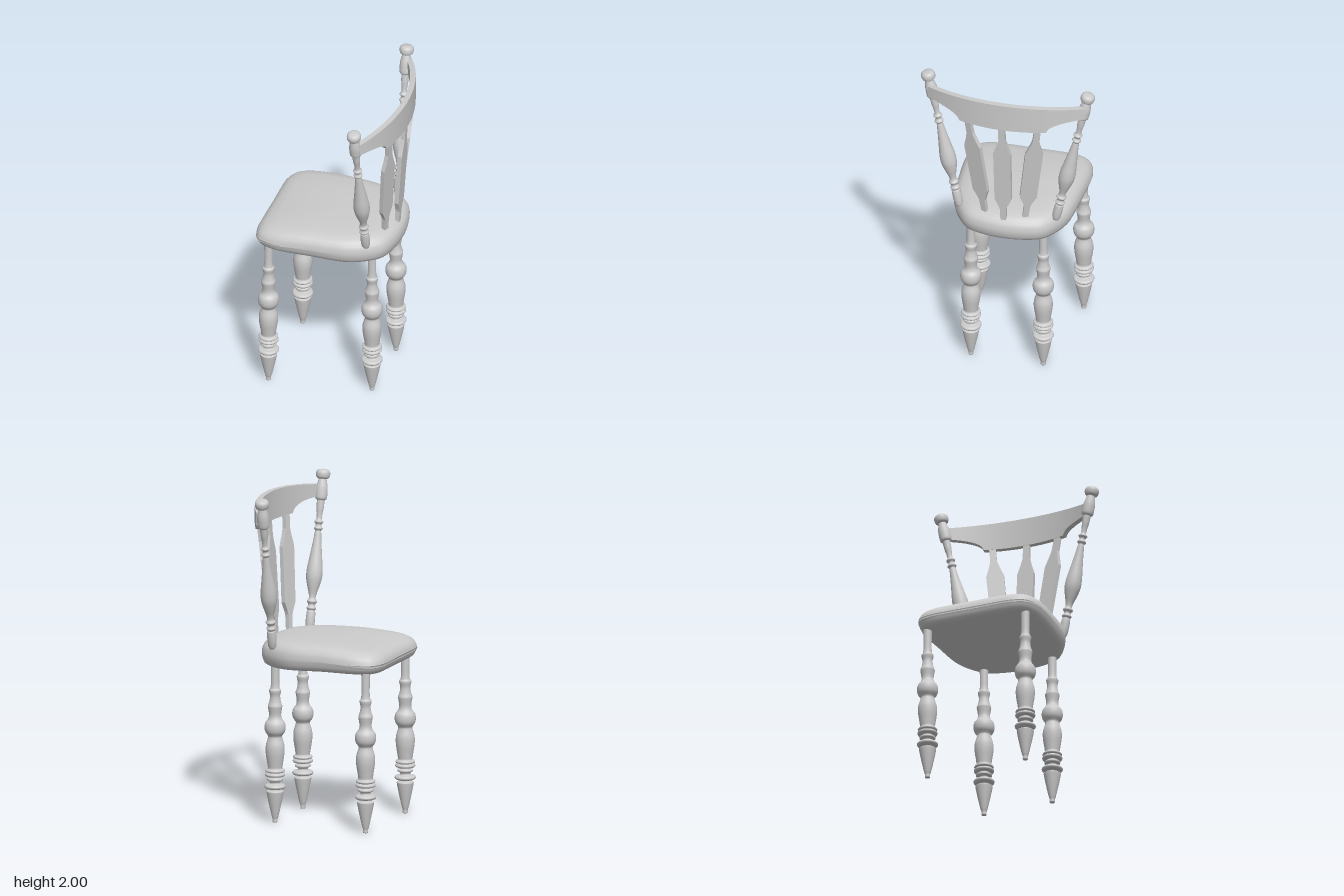
import * as THREE from 'three';

const material = new THREE.MeshStandardMaterial({ color: 0xcccccc, side: THREE.DoubleSide });
const V = (x, y, z) => new THREE.Vector3(x, y, z);

function add(parent, name, geometry) {
  const mesh = new THREE.Mesh(geometry, material);
  mesh.name = name;
  parent.add(mesh);
  return mesh;
}

// Turned wood: a smooth lathe through [radius, height] points
function turned(profile) {
  const curve = new THREE.CatmullRomCurve3(profile.map(([r, y]) => V(r, y, 0)));
  const points = curve.getPoints(profile.length * 4)
    .map((p) => new THREE.Vector2(Math.max(p.x, 0), p.y));
  return new THREE.LatheGeometry(points, 28);
}

// Cushion-like seat: one outline scaled through a rounded edge profile
function seatGeometry() {
  const half = [[0, -0.447], [0.15, -0.448], [0.27, -0.443], [0.345, -0.41], [0.38, -0.32], [0.383, -0.2],
    [0.376, -0.08], [0.366, 0.06], [0.35, 0.15], [0.305, 0.25], [0.235, 0.335], [0.13, 0.372], [0, 0.385]];
  const mirrored = half.slice(1, -1).reverse().map(([x, z]) => [-x, z]);
  const outline = new THREE.CatmullRomCurve3([...half, ...mirrored].map(([x, z]) => V(x, 0, z)), true);
  const n = 96;
  const ring = outline.getSpacedPoints(n).slice(0, n);
  const profile = [[0, 0.94], [0.5, 0.94], [0.85, 0.94], [0.92, 0.943], [0.96, 0.955], [0.985, 0.975],
    [0.998, 1.0], [1, 1.02], [0.99, 1.045], [0.97, 1.063], [0.93, 1.082], [0.87, 1.096],
    [0.75, 1.107], [0.5, 1.112], [0.25, 1.114], [0, 1.114]];
  const positions = [], index = [];
  profile.forEach(([s, y], i) => {
    ring.forEach((p, j) => {
      const z = -0.03 + (p.z + 0.03) * s;
      // the front edge is slightly thinner than the back
      const t = THREE.MathUtils.smoothstep(-z, -0.25, 0.15);
      const lift = y < 1.02 ? 0.014 * t : -0.02 * THREE.MathUtils.smoothstep(-z, 0.05, 0.45);
      positions.push(p.x * s, y + lift, z);
      if (i === 0) return;
      const k = (j + 1) % n, lo = (i - 1) * n, hi = i * n;
      index.push(lo + j, hi + j, lo + k, hi + j, hi + k, lo + k);
    });
  });
  const g = new THREE.BufferGeometry();
  g.setAttribute('position', new THREE.Float32BufferAttribute(positions, 3));
  g.setIndex(index);
  g.computeVertexNormals();
  return g;
}

// Depth of the curved back at a sideways position
const backArc = (x) => 0.39 - 0.909 + Math.sqrt(0.909 ** 2 - x * x);

// Crest rail: a box bent along the arc, with a stepped lower edge
function railGeometry() {
  const g = new THREE.BoxGeometry(0.94, 1, 0.033, 80, 1, 1);
  const p = g.attributes.position;
  for (let i = 0; i < p.count; i++) {
    const x = p.getX(i), a = Math.abs(x);
    const top = 1.94 - 0.033 * (a / 0.47) ** 2;
    const t = THREE.MathUtils.clamp((a - 0.26) / 0.2, 0, 1);
    const bottom = 1.765 + 0.07 * Math.sqrt(1 - (1 - t) ** 2);
    const angle = Math.asin(x / 0.909), d = p.getZ(i);
    p.setXYZ(i, x + Math.sin(angle) * d, p.getY(i) > 0 ? top : bottom, backArc(x) + Math.cos(angle) * d);
  }
  g.computeVertexNormals();
  return g;
}

// Flat slat with a wide blade between narrow necks
function slatGeometry(length) {
  const side = [[0.015, 0], [0.019, 0.17], [0.026, 0.2], [0.05, 0.27], [0.053, 0.72],
    [0.03, 0.81], [0.02, 0.86], [0.019, 1]];
  const outline = [...side, ...[...side].reverse().map(([x, y]) => [-x, y])];
  const shape = new THREE.Shape(outline.map(([x, y]) => new THREE.Vector2(x, y * length)));
  const g = new THREE.ExtrudeGeometry(shape, { depth: 0.026, bevelEnabled: false });
  return g.translate(0, 0, -0.013);
}

export function createModel() {
  const model = new THREE.Group();
  model.name = 'chair';
  // The chair stands turned about the vertical axis
  const chair = new THREE.Group();
  chair.name = 'turnedChair';
  chair.rotation.y = 0.54;
  chair.position.set(-0.033, 0, 0.02);
  model.add(chair);

  add(chair, 'seat', seatGeometry());

  const legGeometry = turned([[0, 0], [0.014, 0.001], [0.015, 0.02], [0.021, 0.04], [0.05, 0.178], [0.05, 0.188],
    [0.03, 0.194], [0.03, 0.201], [0.056, 0.205], [0.063, 0.216], [0.056, 0.227], [0.032, 0.232],
    [0.031, 0.245], [0.046, 0.253], [0.046, 0.264], [0.034, 0.27], [0.034, 0.276], [0.055, 0.279],
    [0.06, 0.288], [0.055, 0.297], [0.045, 0.301], [0.054, 0.304], [0.058, 0.311], [0.054, 0.319],
    [0.044, 0.324], [0.046, 0.35], [0.056, 0.42], [0.055, 0.465], [0.043, 0.508], [0.042, 0.52],
    [0.058, 0.545], [0.063, 0.572], [0.058, 0.6], [0.042, 0.622], [0.036, 0.645], [0.041, 0.685],
    [0.043, 0.7], [0.039, 0.713], [0.035, 0.725], [0.03, 0.76], [0.036, 0.79], [0.035, 0.8],
    [0.028, 0.808], [0.025, 0.9], [0.026, 0.97]]);

  const postGeometry = turned([[0, 0], [0.019, 0.002], [0.025, 0.11], [0.021, 0.117], [0.029, 0.13], [0.021, 0.145],
    [0.021, 0.155], [0.03, 0.17], [0.021, 0.186], [0.022, 0.21], [0.036, 0.26], [0.047, 0.31],
    [0.047, 0.36], [0.038, 0.43], [0.026, 0.52], [0.02, 0.575], [0.018, 0.59], [0.027, 0.603],
    [0.018, 0.618], [0.018, 0.628], [0.027, 0.642], [0.017, 0.657], [0.017, 0.69], [0.021, 0.72],
    [0.023, 0.76], [0.024, 0.772], [0.033, 0.779], [0.036, 0.815], [0.034, 0.85], [0.025, 0.89],
    [0.024, 0.897], [0.036, 0.903], [0.042, 0.92], [0.041, 0.938], [0.03, 0.951], [0, 0.956]]);

  for (const s of [1, -1]) {
    const label = s > 0 ? 'Left' : 'Right';
    add(chair, 'frontLeg' + label, legGeometry).position.set(0.315 * s, 0, -0.353);
    add(chair, 'backLeg' + label, legGeometry).position.set(0.22 * s, 0, 0.26);
    // Posts lean outward from the seat
    const post = add(chair, 'backPost' + label, postGeometry);
    post.position.set(0.292 * s, 1.06, 0.247);
    post.quaternion.setFromUnitVectors(V(0, 1, 0), V(0.2 * s, 0.938, -0.01).normalize());
  }

  add(chair, 'crestRail', railGeometry());

  // Three slats fan out from the seat to the rail
  for (const s of [-1, 0, 1]) {
    const bottom = V(0.118 * s, s ? 1.055 : 1.03, s ? 0.304 : 0.342);
    const top = V(0.212 * s, 1.785, backArc(0.212 * s));
    const up = top.clone().sub(bottom);
    const slat = add(chair, ['backSlatRight', 'backSlatCentre', 'backSlatLeft'][s + 1], slatGeometry(up.length()));
    up.normalize();
    const face = V(Math.sin(0.3 * s), 0, Math.cos(0.3 * s));
    const across = up.clone().cross(face).normalize();
    slat.position.copy(bottom);
    slat.quaternion.setFromRotationMatrix(new THREE.Matrix4().makeBasis(across, up, across.clone().cross(up)));
  }
  return model;
}
